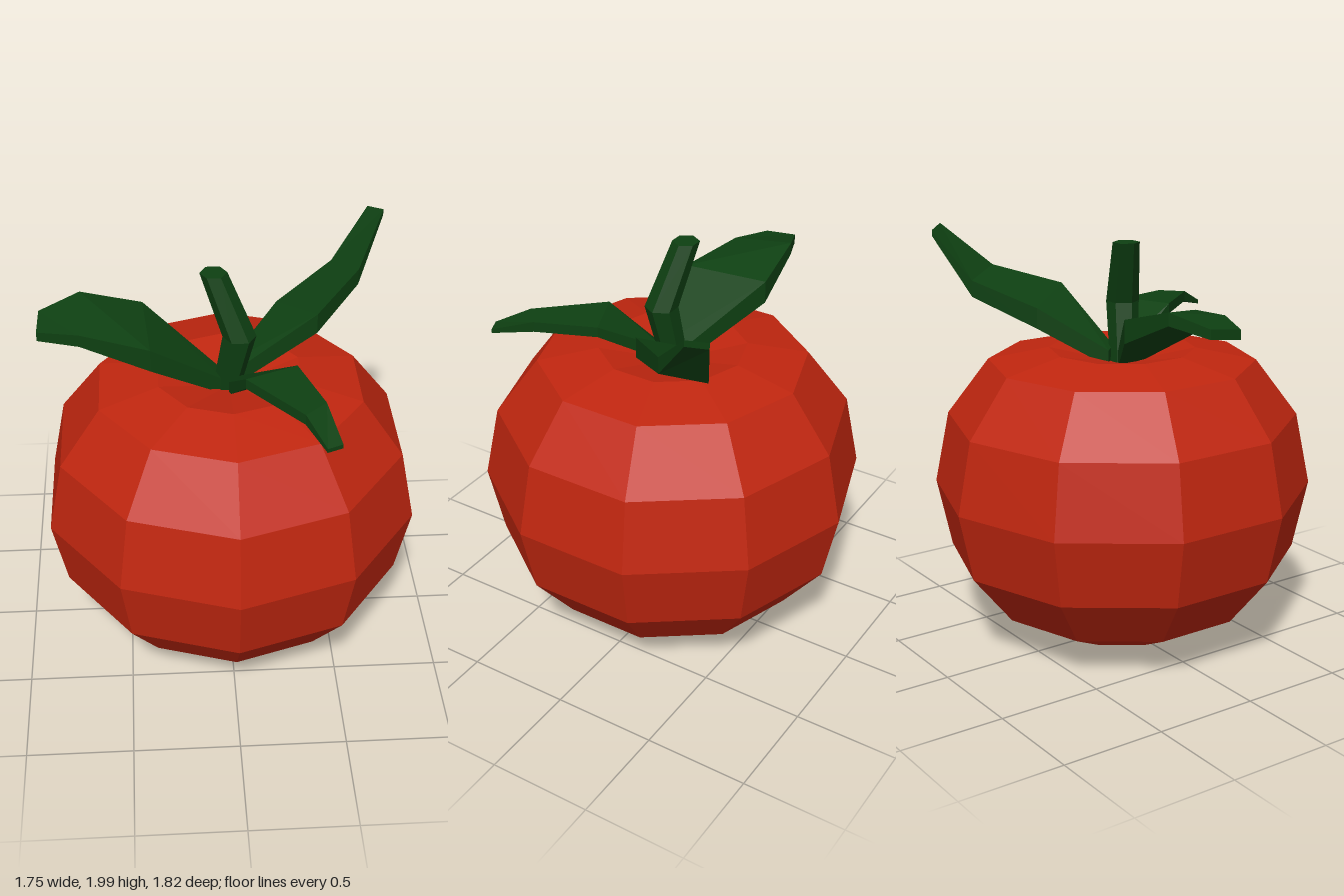
import * as THREE from 'three';

const red = new THREE.MeshStandardMaterial({ color: 0xc0260f, flatShading: true });
red.name = 'tomato red';
const green = new THREE.MeshStandardMaterial({ color: 0x0e4012, flatShading: true });
green.name = 'leaf green';

// Closed skin over rings of points, each counterclockwise seen from the tip
function loft(name, rings) {
  const n = rings[0].length, last = (rings.length - 1) * n, index = [];
  for (let i = 0; i < last; i += n) {
    for (let j = 0; j < n; j++) {
      const k = (j + 1) % n;
      index.push(i + j, i + k, i + n + k, i + j, i + n + k, i + n + j);
    }
  }
  for (let j = 1; j < n - 1; j++) {
    index.push(0, j + 1, j, last, last + j, last + j + 1);
  }
  const geometry = new THREE.BufferGeometry();
  geometry.setAttribute('position', new THREE.Float32BufferAttribute(rings.flat(2), 3));
  geometry.setIndex(index);
  geometry.computeVertexNormals();
  const mesh = new THREE.Mesh(geometry, green);
  mesh.name = name;
  return mesh;
}

// Leaf from rows of [left top corner, right top corner, thickness]
function leaf(name, rows) {
  return loft(name, rows.map(([l, r, t]) => [l, r, [r[0], r[1] - t, r[2]], [l[0], l[1] - t, l[2]]]));
}

// Level six-sided ring
function hexRing(x, y, z, radius) {
  return Array.from({ length: 6 }, (_, i) => {
    const a = (i * Math.PI) / 3 + Math.PI / 6;
    return [x + radius * Math.sin(a), y, z + radius * Math.cos(a)];
  });
}

export function createModel() {
  const model = new THREE.Group();
  model.name = 'tomato';

  // Ten-sided fruit with a dimple on top
  const profile = [
    [0, 0], [0.35, 0.05], [0.64, 0.195], [0.84, 0.445], [0.91, 0.775],
    [0.84, 1.12], [0.64, 1.387], [0.35, 1.445], [0, 1.37],
  ].map(([r, y]) => new THREE.Vector2(r, y));
  const fruit = new THREE.Mesh(new THREE.LatheGeometry(profile, 10), red);
  fruit.name = 'fruit';
  fruit.position.x = 0.005;
  model.add(fruit);

  // Bent stem
  model.add(loft('stem', [
    hexRing(-0.01, 1.35, 0, 0.065),
    hexRing(0.05, 1.66, 0.035, 0.078),
    hexRing(-0.065, 1.96, -0.025, 0.063),
  ]));

  // Three drooping and rising leaves
  model.add(leaf('leftLeaf', [
    [[-0.03, 1.44, 0.05], [-0.05, 1.45, -0.06], 0.08],
    [[-0.36, 1.67, 0.155], [-0.39, 1.68, -0.265], 0.11],
    [[-0.68, 1.71, 0.07], [-0.68, 1.76, -0.24], 0.06],
    [[-0.875, 1.69, 0], [-0.87, 1.71, -0.16], 0.045],
  ]));
  model.add(leaf('backRightLeaf', [
    [[0, 1.44, -0.08], [0.05, 1.45, -0.02], 0.08],
    [[0.25, 1.63, -0.32], [0.42, 1.7, -0.07], 0.1],
    [[0.53, 1.74, -0.51], [0.64, 1.785, -0.33], 0.08],
    [[0.71, 1.97, -0.62], [0.775, 1.99, -0.54], 0.03],
  ]));
  model.add(leaf('frontRightLeaf', [
    [[0.04, 1.44, 0.03], [0, 1.44, 0.08], 0.07],
    [[0.3, 1.61, 0.22], [0.06, 1.61, 0.32], 0.05],
    [[0.4, 1.6, 0.51], [0.3, 1.6, 0.6], 0.05],
    [[0.45, 1.525, 0.72], [0.38, 1.525, 0.75], 0.02],
  ]));

  return model;
}
